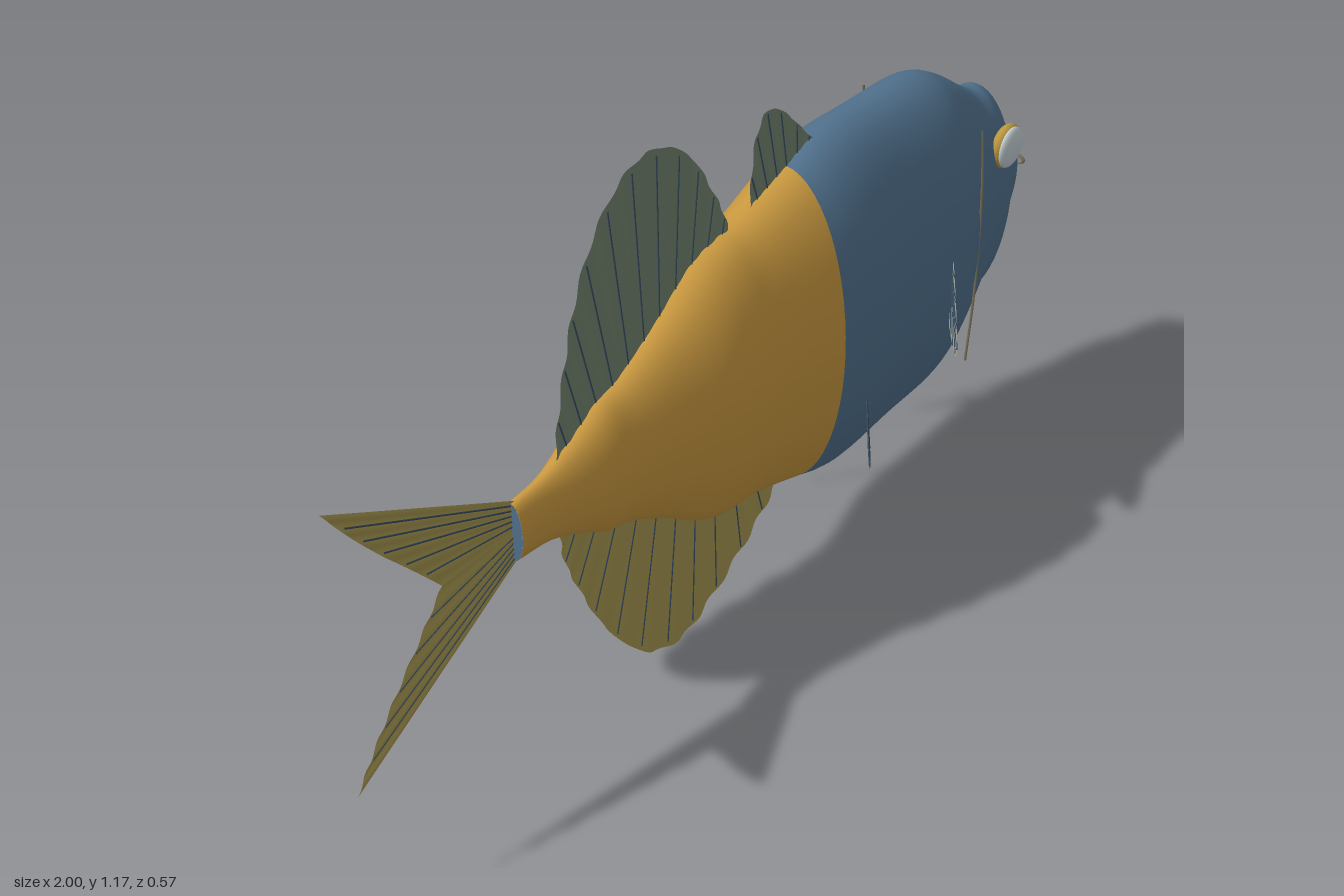
import * as THREE from 'three';

const mat = (name, color, side = THREE.FrontSide) => {
  const m = new THREE.MeshStandardMaterial({ color, side });
  m.name = name;
  return m;
};
const blue = mat('slate blue skin', 0x50708c);
const gold = mat('golden skin', 0xc7973f);
const sage = mat('sage fin', 0x71826d, THREE.DoubleSide);
const olive = mat('olive fin', 0xa69650, THREE.DoubleSide);
const grey = mat('pale grey fin', 0xa5aa9c, THREE.DoubleSide);
const ink = mat('dark fin ray', 0x33465a);
const brass = mat('brass eye rim', 0xb8953f);
const pale = mat('pale eye', 0xc3ced3);
const bronze = mat('bronze line', 0x77705a);

const MID = 0.586; // height of the body axis

function add(parent, name, geometry, material) {
  const mesh = new THREE.Mesh(geometry, material);
  mesh.name = name;
  parent.add(mesh);
  return mesh;
}

// Grid surface from a function of (u, v)
function sheet(fn, nu, nv) {
  const pos = [], idx = [];
  for (let i = 0; i <= nu; i++)
    for (let j = 0; j <= nv; j++) pos.push(...fn(i / nu, j / nv).toArray());
  for (let i = 0; i < nu; i++)
    for (let j = 0; j < nv; j++) {
      const a = i * (nv + 1) + j, b = a + nv + 1;
      idx.push(a, b, a + 1, b, b + 1, a + 1);
    }
  const g = new THREE.BufferGeometry();
  g.setAttribute('position', new THREE.Float32BufferAttribute(pos, 3));
  g.setIndex(idx);
  g.computeVertexNormals();
  return g;
}

// Body: elliptical rings of x, half height, half width
function bodyGeometry() {
  const rings = [
    [-0.585, 0.064, 0.024], [-0.5, 0.074, 0.03], [-0.42, 0.11, 0.048], [-0.36, 0.146, 0.06],
    [-0.3, 0.162, 0.067], [-0.2, 0.22, 0.09], [-0.1, 0.291, 0.117], [-0.03, 0.312, 0.125],
    [0.03, 0.318, 0.126], [0.1, 0.337, 0.134], [0.19, 0.366, 0.149], [0.25, 0.387, 0.155],
    [0.32, 0.395, 0.157], [0.45, 0.389, 0.152], [0.6, 0.378, 0.155], [0.68, 0.342, 0.139],
    [0.76, 0.283, 0.115], [0.8, 0.257, 0.102], [0.835, 0.25, 0.098], [0.865, 0.222, 0.088],
    [0.9, 0.158, 0.069], [0.925, 0.125, 0.06], [0.955, 0.102, 0.046], [0.978, 0.066, 0.031],
    [0.988, 0.035, 0.02], [0.993, 0.001, 0.001]];
  const SUB = 4, N = 56, splitRing = 10, last = (rings.length - 1) * SUB;
  const curve = new THREE.CatmullRomCurve3(
    rings.map(r => new THREE.Vector3(...r)), false, 'catmullrom');
  const pos = [], idx = [];
  for (let i = 0; i <= last; i++) {
    const r = curve.getPoint(i / last);
    for (let j = 0; j < N; j++) {
      const a = j / N * Math.PI * 2;
      pos.push(r.x, MID + r.y * Math.cos(a), r.z * Math.sin(a));
    }
  }
  for (let i = 0; i < last; i++)
    for (let j = 0; j < N; j++) {
      const a = i * N + j, b = i * N + (j + 1) % N;
      idx.push(a, b, a + N, b, b + N, a + N);
    }
  const g = new THREE.BufferGeometry();
  g.setAttribute('position', new THREE.Float32BufferAttribute(pos, 3));
  g.setIndex(idx);
  const cut = splitRing * SUB * N * 6;
  g.addGroup(0, cut, 0);
  g.addGroup(cut, idx.length - cut, 1);
  g.computeVertexNormals();
  return g;
}

// Fin: membrane between a straight root and a curved edge, with thin rays.
// place() maps the fin's flat (a, b) coordinates into space.
function fin(name, root, edge, rays, material, place, ripple = 0) {
  const group = new THREE.Group();
  group.name = name;
  const tips = new THREE.CatmullRomCurve3(
    edge.map(([a, b]) => new THREE.Vector3(a, b, 0)), false, 'centripetal');
  const [r0, r1] = root.map(([a, b]) => new THREE.Vector3(a, b, 0));
  const at = (u, v) => {
    const p = r0.clone().lerp(r1, u).lerp(tips.getPoint(u), v);
    const q = place(p.x, p.y);
    q.z += ripple * v * Math.sin(u * rays * Math.PI * 2);
    return q;
  };
  add(group, 'membrane', sheet(at, rays * 8, 6), material);
  for (let i = 1; i < rays; i++) {
    const u = i / rays;
    const line = new THREE.LineCurve3(at(u, 0), at(u, 0.97));
    add(group, 'finRay', new THREE.TubeGeometry(line, 1, 0.0018, 5), ink);
  }
  return group;
}

export function createModel() {
  const fish = new THREE.Group();
  fish.name = 'fish';
  add(fish, 'body', bodyGeometry(), [gold, blue]);

  // Closed end of the tail stalk
  const stalk = add(fish, 'tailStalkEnd', new THREE.CircleGeometry(1, 40), blue);
  stalk.scale.set(0.024, 0.064, 1);
  stalk.rotation.y = -Math.PI / 2;
  stalk.position.set(-0.5855, MID, 0);

  // Fins on the centre line
  const flat = (x, y) => new THREE.Vector3(x, y, 0);
  fish.add(fin('rearDorsalFin', [[-0.46, 0.6], [0.02, 0.84]],
    [[-0.47, 0.66], [-0.455, 0.76], [-0.43, 0.87], [-0.4, 0.97], [-0.35, 1.07], [-0.28, 1.145],
      [-0.21, 1.17], [-0.14, 1.15], [-0.08, 1.095], [-0.03, 1.01], [0.005, 0.94], [0.025, 0.87]],
    12, sage, flat, 0.003));
  fish.add(fin('frontDorsalFin', [[0.09, 0.87], [0.28, 0.93]],
    [[0.08, 0.9], [0.085, 0.98], [0.1, 1.06], [0.13, 1.096], [0.17, 1.08], [0.22, 1.03],
      [0.26, 0.985], [0.3, 0.95]],
    7, sage, flat, 0.002));
  fish.add(fin('analFin', [[-0.46, 0.54], [0.19, 0.3]],
    [[-0.47, 0.5], [-0.455, 0.42], [-0.42, 0.33], [-0.37, 0.22], [-0.3, 0.11], [-0.22, 0.03],
      [-0.13, 0.003], [-0.05, 0.035], [0.04, 0.09], [0.12, 0.15], [0.18, 0.21], [0.2, 0.25]],
    12, olive, flat, 0.004));
  for (const s of [1, -1])
    fish.add(fin(s > 0 ? 'upperTailLobe' : 'lowerTailLobe', [[-0.575, 0.065], [-0.575, 0]],
      [[-1, 0.315], [-0.95, 0.24], [-0.89, 0.16], [-0.82, 0.075], [-0.76, 0]],
      6, olive, (x, y) => new THREE.Vector3(x, MID + s * y, 0), 0.002));

  // Parts mirrored on both sides
  const sideEdge = [[0.06, 0.078], [0.3, 0.068], [0.6, 0.053], [0.85, 0.03], [1, 0.004],
    [0.9, -0.022], [0.6, -0.052], [0.3, -0.072], [0.06, -0.085]];
  const sideRoot = [[0, 0.055], [0.08, 0]];
  for (const s of [1, -1]) {
    const side = s > 0 ? 'right' : 'left';
    fish.add(fin(side + 'PectoralFin', sideRoot, sideEdge, 8, grey,
      (d, h) => new THREE.Vector3(0.56 - 0.185 * d, 0.542 + h, s * (0.145 + 0.138 * d))));
    fish.add(fin(side + 'PelvicFin', sideRoot, sideEdge, 8, grey,
      (d, h) => new THREE.Vector3(0.3 - 0.145 * d - 0.12 * h, 0.375 + 0.83 * h,
        s * (0.132 + 0.108 * d))));

    // Eye: brass dome with a pale disc on its outer face
    const rim = add(fish, side + 'EyeRim', new THREE.SphereGeometry(1, 32, 20), brass);
    rim.scale.set(0.046, 0.049, 0.022);
    rim.position.set(0.822, 0.728, s * 0.092);
    const eye = add(fish, side + 'Eye', new THREE.SphereGeometry(1, 32, 20), pale);
    eye.scale.set(0.042, 0.045, 0.014);
    eye.position.set(0.822, 0.728, s * 0.102);

    // Gill line
    const gill = new THREE.CatmullRomCurve3([[0.64, 0.87], [0.654, 0.74], [0.659, 0.595],
      [0.654, 0.45], [0.64, 0.31]].map(([x, y]) => new THREE.Vector3(x, y, s * 0.143)));
    add(fish, side + 'GillLine', new THREE.TubeGeometry(gill, 32, 0.003, 6), bronze);
  }

  // Small oval mouth ring
  const mouth = add(fish, 'mouth', new THREE.TorusGeometry(0.036, 0.004, 8, 32), bronze);
  mouth.rotation.y = Math.PI / 2;
  mouth.scale.y = 0.38;
  mouth.position.set(0.995, MID, 0);
  return fish;
}
